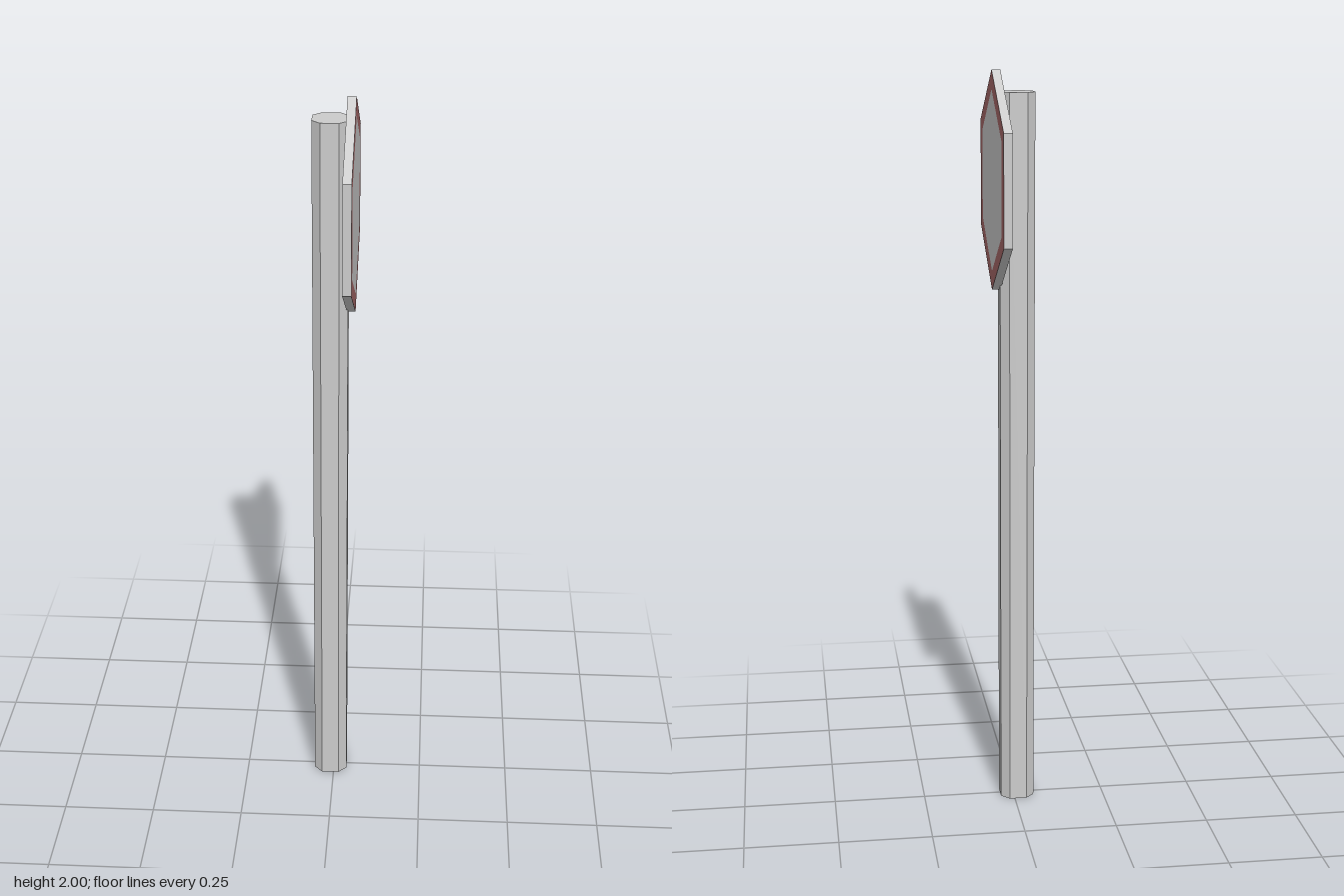
import * as THREE from 'three';

const grey = new THREE.MeshStandardMaterial({ color: 0xcccccc, flatShading: true });
const red = new THREE.MeshStandardMaterial({ color: 0xa66868, flatShading: true });

function addMesh(parent, name, geometry, material) {
  const mesh = new THREE.Mesh(geometry, material);
  mesh.name = name;
  parent.add(mesh);
  return mesh;
}

export function createModel() {
  const model = new THREE.Group();
  model.name = 'roadSign';

  // Post: a square with chamfered corners, extruded upwards
  const half = 0.0457, edge = 0.0235, postHeight = 1.945;
  const outline = [];
  for (let i = 0; i < 4; i++) {
    for (const [x, y] of [[half, -edge], [half, edge]]) {
      outline.push(new THREE.Vector2(x, y).rotateAround(new THREE.Vector2(), i * Math.PI / 2));
    }
  }
  const postGeometry = new THREE.ExtrudeGeometry(new THREE.Shape(outline), { depth: postHeight, bevelEnabled: false });
  postGeometry.rotateX(-Math.PI / 2);
  addMesh(model, 'post', postGeometry, grey).position.x = -0.0093;

  // Hexagonal sign, built facing +z and then turned to face +x
  const radius = 0.283, innerRadius = 0.234, thickness = 0.0226, top = Math.PI / 2;
  const sign = new THREE.Group();
  sign.name = 'sign';
  sign.position.set(0.0324, 2 - radius, 0);
  sign.rotation.y = Math.PI / 2;
  model.add(sign);

  // Rim and back of the plate
  const rim = new THREE.CylinderGeometry(radius, radius, thickness, 6, 1, true);
  rim.rotateX(Math.PI / 2).translate(0, 0, thickness / 2);
  addMesh(sign, 'plateRim', rim, grey);
  addMesh(sign, 'plateBack', new THREE.CircleGeometry(radius, 6, top).rotateY(Math.PI), grey);

  // Red border flush with the grey face
  const border = new THREE.RingGeometry(innerRadius, radius, 6, 1, top);
  addMesh(sign, 'border', border, red).position.z = thickness;
  addMesh(sign, 'face', new THREE.CircleGeometry(innerRadius, 6, top), grey).position.z = thickness;

  return model;
}
